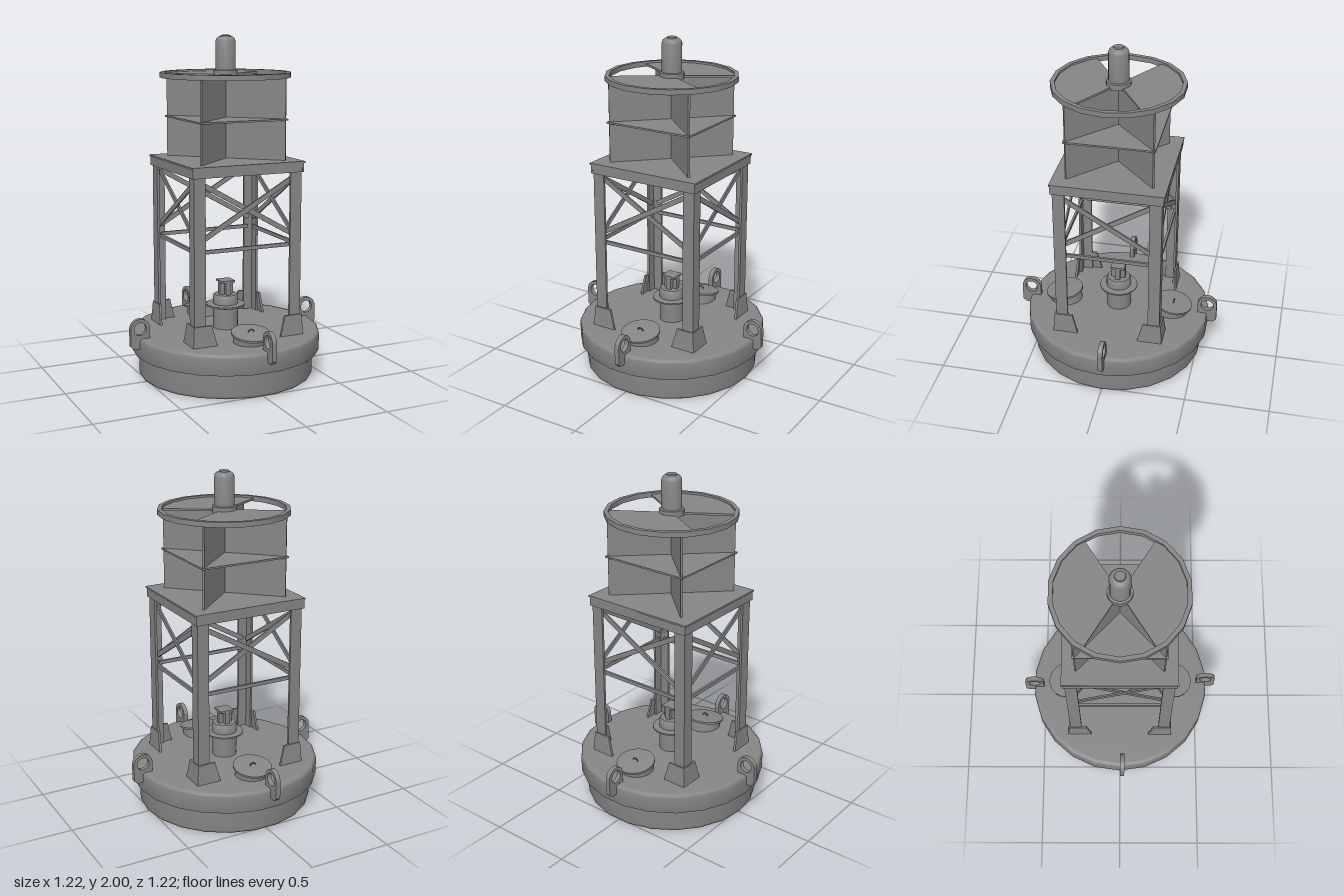
import * as THREE from 'three';
import { toCreasedNormals } from 'three/addons/utils/BufferGeometryUtils.js';

const material = new THREE.MeshStandardMaterial({ color: 0x868686, side: THREE.DoubleSide });

function add(parent, name, geometry, x = 0, y = 0, z = 0) {
  const mesh = new THREE.Mesh(geometry, material);
  mesh.name = name;
  mesh.position.set(x, y, z);
  parent.add(mesh);
  return mesh;
}

const box = (w, h, d) => new THREE.BoxGeometry(w, h, d);

// Turned part from [radius, height] points, with a corner on the x axis
function turned(points, sides) {
  const geometry = new THREE.LatheGeometry(points.map(([r, y]) => new THREE.Vector2(r, y)), sides);
  return toCreasedNormals(geometry.rotateY(Math.PI / 2), 0.8);
}

// Flat bar between two points
function bar(parent, name, from, to, width, height) {
  const a = new THREE.Vector3(...from), b = new THREE.Vector3(...to);
  const mesh = add(parent, name, box(width, height, a.distanceTo(b)));
  mesh.position.copy(a).add(b).multiplyScalar(0.5);
  mesh.lookAt(b);
}

function makeHull(root) {
  add(root, 'hull', turned([
    [0, 0], [0.5, 0], [0.512, 0.002], [0.518, 0.008], [0.52, 0.02], [0.52, 0.15],
    [0.557, 0.15], [0.56, 0.16], [0.56, 0.25], [0.558, 0.262], [0.55, 0.27],
    [0.535, 0.271], [0, 0.271]], 22));
}

function makeLiftingEyes(root) {
  const shape = new THREE.Shape();
  shape.moveTo(0.494, 0.33);
  shape.lineTo(0.495, 0.25);
  shape.lineTo(0.54, 0.215);
  shape.lineTo(0.59, 0.21);
  shape.lineTo(0.612, 0.23);
  shape.lineTo(0.612, 0.33);
  shape.absarc(0.553, 0.33, 0.059, 0, Math.PI, false);
  const hole = new THREE.Path();
  hole.absarc(0.553, 0.33, 0.038, 0, Math.PI * 2, true);
  shape.holes.push(hole);
  const geometry = new THREE.ExtrudeGeometry(shape, { depth: 0.028, bevelEnabled: false, curveSegments: 10 });
  geometry.translate(0, 0, -0.028);
  for (let i = 0; i < 4; i++) add(root, 'liftingEye', geometry).rotation.y = i * Math.PI / 2;
}

function makeHatches(root) {
  for (const s of [1, -1]) {
    const hatch = new THREE.Group();
    hatch.name = 'hatch';
    // Neck sunk into the deck, lid tilted outwards, small handle
    add(hatch, 'hatchNeck', turned([[0.1, -0.07], [0.1, 0]], 18));
    add(hatch, 'hatchLid', turned([[0, -0.006], [0.115, -0.006], [0.115, 0.006], [0, 0.01]], 18));
    add(hatch, 'hatchHandle', new THREE.TorusGeometry(0.016, 0.004, 6, 10, Math.PI), 0, 0.01, 0);
    hatch.position.set(0, 0.322, s * 0.345);
    hatch.rotation.x = s * 0.17;
    root.add(hatch);
  }
}

function makeDeckPost(root) {
  add(root, 'deckPost', turned([
    [0.075, 0.27], [0.075, 0.395], [0.095, 0.4], [0.095, 0.407], [0.115, 0.407],
    [0.115, 0.416], [0.075, 0.418], [0.075, 0.465], [0.068, 0.475], [0, 0.475]], 18));
  // Head of crossed fins under a cap
  add(root, 'postFin', box(0.085, 0.085, 0.03), 0, 0.5125, 0);
  add(root, 'postFin', box(0.03, 0.085, 0.085), 0, 0.5125, 0);
  add(root, 'postCap', box(0.085, 0.012, 0.085), 0, 0.554, 0);
}

// Thin foot plate whose top is narrower and leans inwards
function footPlate(sx, sz, alongX) {
  const geometry = alongX ? box(0.15, 0.125, 0.014) : box(0.014, 0.125, 0.15);
  const p = geometry.attributes.position;
  for (let i = 0; i < p.count; i++) if (p.getY(i) > 0) {
    p.setX(i, alongX ? p.getX(i) * 0.72 + sx * 0.012 : p.getX(i) - sx * 0.009);
    p.setZ(i, alongX ? p.getZ(i) - sz * 0.009 : p.getZ(i) * 0.72 + sz * 0.012);
  }
  geometry.computeVertexNormals();
  return geometry;
}

function makeTower(root) {
  for (const sx of [1, -1]) for (const sz of [1, -1]) {
    // Angle-section leg: two flanges meeting on the outer corner
    const leg = new THREE.Group();
    leg.name = 'leg';
    add(leg, 'legFlange', box(0.07, 0.97, 0.014), sx * 0.3, 0.755, sz * 0.305);
    add(leg, 'legFlange', box(0.014, 0.97, 0.07), sx * 0.328, 0.755, sz * 0.277);
    add(leg, 'footPlate', footPlate(sx, sz, true), sx * 0.275, 0.328, sz * 0.323);
    add(leg, 'footPlate', footPlate(sx, sz, false), sx * 0.343, 0.328, sz * 0.255);
    root.add(leg);
  }

  // Cross braces and tie bar on each of the four sides
  for (const s of [1, -1]) {
    const front = (u, y, inset) => [u * 0.29, y, s * (0.293 - inset)];
    const side = (u, y, inset) => [s * (0.315 - inset), y, u * 0.27];
    for (const at of [front, side]) {
      bar(root, 'crossBrace', at(-1, 0.87, 0), at(1, 1.2, 0), 0.01, 0.029);
      bar(root, 'crossBrace', at(-1, 1.2, 0.011), at(1, 0.87, 0.011), 0.01, 0.029);
      bar(root, 'tieBar', at(-1, 0.81, 0), at(1, 0.81, 0), 0.014, 0.022);
    }
  }
}

function makePlatform(root) {
  add(root, 'platformTop', box(0.7, 0.01, 0.655), 0, 1.287, 0);
  for (const s of [1, -1]) {
    add(root, 'platformSkirt', box(0.69, 0.055, 0.012), 0, 1.2575, s * 0.316);
    add(root, 'platformSkirt', box(0.012, 0.055, 0.645), s * 0.339, 1.2575, 0);
  }
}

function makeReflector(root) {
  // Crossed upright plates on the diagonals
  const angle = Math.atan2(0.25, 0.265);
  for (const s of [1, -1]) {
    add(root, 'reflectorPlate', box(0.725, 0.475, 0.012), 0, 1.5275, 0).rotation.y = s * angle;
  }
  add(root, 'middlePlate', box(0.548, 0.01, 0.518), 0, 1.525, 0);

  // Top ring with a fan plate at front and back
  add(root, 'topRing', turned([
    [0.355, 1.79], [0.355, 1.76], [0.38, 1.76], [0.38, 1.79], [0.355, 1.79]], 18));
  const fan = new THREE.Shape();
  const start = THREE.MathUtils.degToRad(32);
  fan.moveTo(0, 0);
  fan.lineTo(0.36 * Math.cos(start), 0.36 * Math.sin(start));
  fan.absarc(0, 0, 0.36, start, Math.PI - start, false);
  const geometry = new THREE.ExtrudeGeometry(fan, { depth: 0.012, bevelEnabled: false, curveSegments: 8 });
  geometry.rotateX(Math.PI / 2);
  for (const turn of [0, Math.PI]) add(root, 'topFan', geometry, 0, 1.778, 0).rotation.y = turn;
}

function makeLamp(root) {
  add(root, 'lamp', turned([
    [0, 1.765], [0.07, 1.765], [0.07, 1.8], [0.058, 1.803], [0.058, 1.965],
    [0.053, 1.98], [0.042, 1.99], [0.03, 1.993], [0.028, 2], [0, 2]], 18));
}

export function createModel() {
  const root = new THREE.Group();
  root.name = 'navigationBuoy';
  makeHull(root);
  makeLiftingEyes(root);
  makeHatches(root);
  makeDeckPost(root);
  makeTower(root);
  makePlatform(root);
  makeReflector(root);
  makeLamp(root);
  return root;
}
